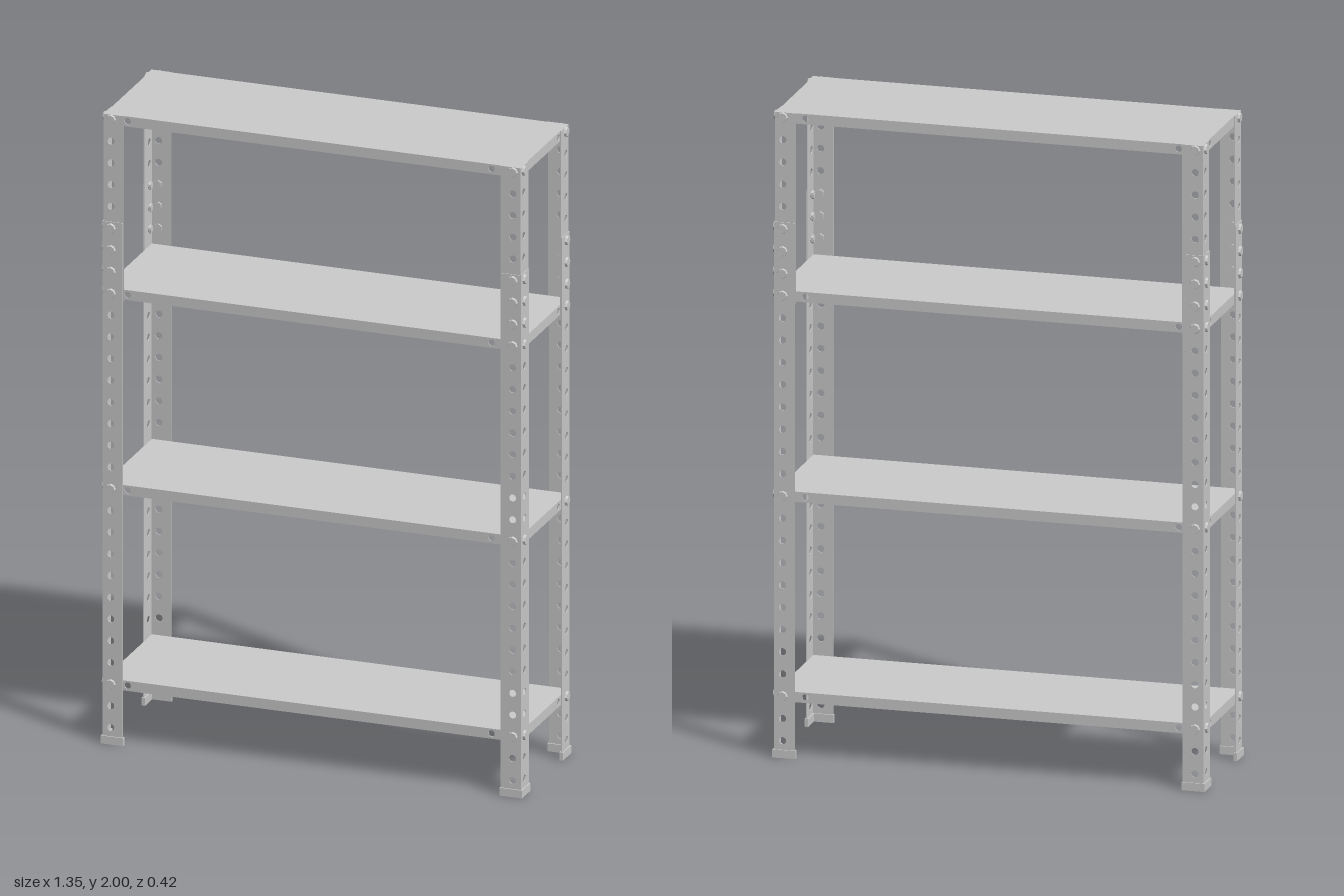
import * as THREE from 'three';

const material = new THREE.MeshStandardMaterial({ color: 0xcccccc, flatShading: true });

const T = 0.0025;               // sheet thickness
const HX = 0.662, HZ = 0.2;     // shelf half sizes
const LEG = 0.065;              // width of an angle-post flange
const INSET = 0.027;            // distance of the hole row from the post corner
const holeY = (i) => 0.053 + i * 0.069;
const shelfRows = [2, 11, 20, 28];
const boltRows = [2, 11, 20, 21, 22, 23, 28];

function add(parent, name, geometry, x = 0, y = 0, z = 0) {
  const mesh = new THREE.Mesh(geometry, material);
  mesh.name = name;
  mesh.position.set(x, y, z);
  parent.add(mesh);
  return mesh;
}

function group(parent, name) {
  const g = new THREE.Group();
  g.name = name;
  parent.add(g);
  return g;
}

// Thin sheet in the XY plane, z from -T to 0, with round holes
function plate(x0, x1, y0, y1, holes, r = 0.011) {
  const shape = new THREE.Shape([
    new THREE.Vector2(x0, y0), new THREE.Vector2(x1, y0),
    new THREE.Vector2(x1, y1), new THREE.Vector2(x0, y1),
  ]);
  for (const [x, y] of holes) {
    const hole = new THREE.Path();
    hole.absarc(x, y, r, 0, Math.PI * 2, true);
    shape.holes.push(hole);
  }
  const g = new THREE.ExtrudeGeometry(shape, { depth: T, bevelEnabled: false, curveSegments: 10 });
  return g.translate(0, 0, -T);
}

// Perforated L-section, its corner on the local origin, flanges along -x and -z
function angle(parent, name, y0, y1, inset) {
  const g = group(parent, name);
  g.position.set(-inset, 0, -inset);
  const off = INSET - inset;
  const rows = [];
  for (let i = 0; i < 29; i++) {
    const y = holeY(i);
    if (y > y0 + 0.011 && y < y1 - 0.011) rows.push(y);
  }
  add(g, 'flangeX', plate(-LEG, 0, y0, y1, rows.map((y) => [-off, y])));
  add(g, 'flangeZ', plate(0, LEG, y0, y1, rows.map((y) => [off, y]))).rotation.y = Math.PI / 2;
}

// Bolt along +z: octagonal head, shank and nut
function bolt(parent, seat) {
  const g = group(parent, 'bolt');
  const part = (name, r0, r1, z0, z1, sides) => {
    const geo = new THREE.CylinderGeometry(r1, r0, z1 - z0, sides).rotateX(Math.PI / 2);
    add(g, name, geo, 0, 0, (z0 + z1) / 2);
  };
  part('boltHead', 0.016, 0.014, seat, seat + 0.007, 8);
  part('boltShank', 0.0105, 0.0105, -0.014, seat, 8);
  part('boltNut', 0.014, 0.014, -0.013, -0.0075, 6);
  return g;
}

// L-shaped foot cap
function footGeometry() {
  const o = 0.004, i = -0.007, e = -0.068;
  const pts = [[o, -o], [o, -e], [i, -e], [i, -i], [e, -i], [e, -o]];
  const shape = new THREE.Shape(pts.map(([x, y]) => new THREE.Vector2(x, y)));
  return new THREE.ExtrudeGeometry(shape, { depth: 0.025, bevelEnabled: false }).rotateX(-Math.PI / 2);
}

function cornerPost(parent, name, sx, sz, turn) {
  const g = group(parent, name);
  g.position.set(sx * (HX + 2 * T), 0, sz * (HZ + 2 * T));
  g.rotation.y = turn * Math.PI / 2;
  // the lower angle overlaps the outside of the upper one at the splice
  angle(g, 'lowerAngle', 0, 1.66, 0);
  angle(g, 'upperAngle', 1.41, 2, T);
  add(g, 'foot', footGeometry());
  for (const row of boltRows) {
    const seat = row === 28 ? -T : 0;
    bolt(g, seat).position.set(-INSET, holeY(row), 0);
    const side = bolt(g, seat);
    side.position.set(0, holeY(row), -INSET);
    side.rotation.y = Math.PI / 2;
  }
}

function shelf(parent, row) {
  const g = group(parent, 'shelf');
  g.position.y = holeY(row);
  const top = 0.015, bottom = -0.017;
  add(g, 'shelfTop', new THREE.BoxGeometry(2 * HX, T, 2 * HZ), 0, top - T / 2, 0);
  // folded rims with the spare bolt holes
  const x = [[-0.588, 0], [0.571, 0]];
  add(g, 'frontRim', plate(-HX, HX, bottom, top - T, x, 0.01), 0, 0, HZ);
  add(g, 'backRim', plate(-HX, HX, bottom, top - T, x, 0.01), 0, 0, -HZ + T);
  for (const s of [1, -1]) {
    const rim = plate(-HZ + T, HZ - T, bottom, top - T, [[0.122, 0]], 0.01);
    add(g, s > 0 ? 'leftRim' : 'rightRim', rim, s > 0 ? HX : -HX + T).rotation.y = Math.PI / 2;
  }
}

export function createModel() {
  const model = new THREE.Group();
  model.name = 'shelvingUnit';
  cornerPost(model, 'frontLeftPost', 1, 1, 0);
  cornerPost(model, 'backLeftPost', 1, -1, 1);
  cornerPost(model, 'backRightPost', -1, -1, 2);
  cornerPost(model, 'frontRightPost', -1, 1, 3);
  shelfRows.forEach((row) => shelf(model, row));
  return model;
}
